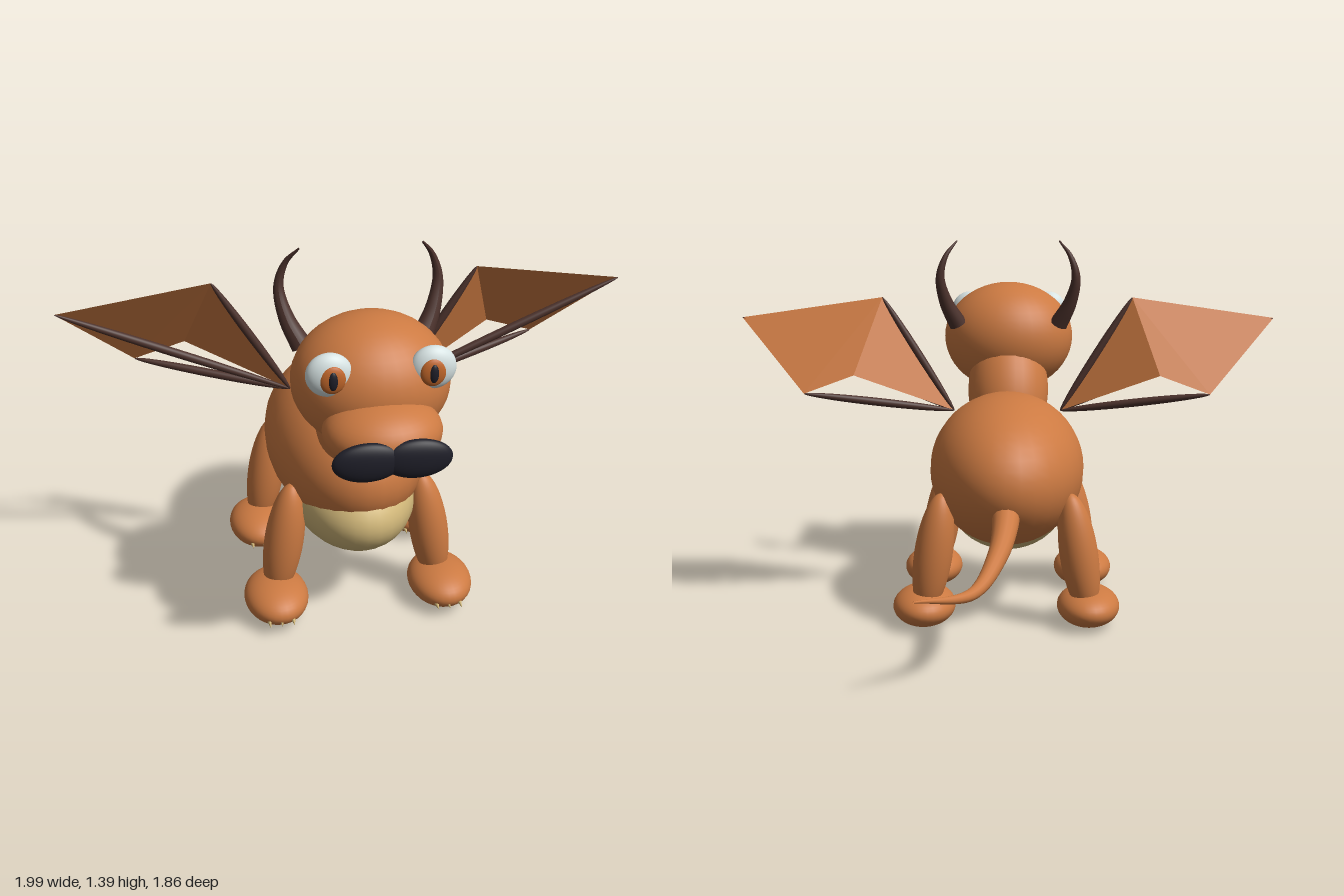
import * as THREE from 'three';

const mat = (name, color, side = THREE.FrontSide) => {
  const m = new THREE.MeshStandardMaterial({ color, side });
  m.name = name;
  return m;
};

export function createModel() {
  const root = new THREE.Group();
  root.name = 'dragon';
  const skin = mat('orange skin', 0xcc7a42, THREE.DoubleSide);
  const cream = mat('cream belly', 0xd2b87a);
  const brown = mat('dark brown horn', 0x4c322c);
  const black = mat('black', 0x1e1e28);
  const white = mat('eye white', 0xd6e2e2);
  const amber = mat('amber iris', 0xc0662a);

  const V = (x, y, z) => new THREE.Vector3(x, y, z);
  const add = (name, geo, material, parent = root) => {
    const m = new THREE.Mesh(geo, material);
    m.name = name;
    parent.add(m);
    return m;
  };
  const ball = new THREE.SphereGeometry(1, 32, 24);
  const ellipsoid = (name, material, pos, size, parent) => {
    const m = add(name, ball, material, parent);
    m.position.set(...pos);
    m.scale.set(...size);
    return m;
  };
  // Spindle stretched between two points
  const spindle = (name, material, a, b, r, parent) => {
    const d = b.clone().sub(a);
    const m = add(name, ball, material, parent);
    m.position.copy(a).add(b).multiplyScalar(0.5);
    m.scale.set(r, d.length() / 2, r);
    m.quaternion.setFromUnitVectors(V(0, 1, 0), d.normalize());
    return m;
  };
  // Tube along a curve whose radius runs from r0 to r1
  const taper = (points, r0, r1) => {
    const curve = new THREE.CatmullRomCurve3(points);
    const rows = 28, sides = 14;
    const geo = new THREE.TubeGeometry(curve, rows, 1, sides);
    const p = geo.attributes.position, v = V(0, 0, 0);
    for (let i = 0; i <= rows; i++) {
      const c = curve.getPointAt(i / rows);
      const r = r0 + (r1 - r0) * i / rows;
      for (let j = 0; j <= sides; j++) {
        const k = i * (sides + 1) + j;
        v.fromBufferAttribute(p, k).sub(c).multiplyScalar(r).add(c);
        p.setXYZ(k, v.x, v.y, v.z);
      }
    }
    geo.computeVertexNormals();
    return geo;
  };

  // Trunk, neck and head
  ellipsoid('body', skin, [0, 0.55, 0.09], [0.29, 0.28, 0.46]);
  ellipsoid('belly', cream, [0, 0.41, 0.2], [0.23, 0.19, 0.365]);
  ellipsoid('neck', skin, [0, 0.8, 0.425], [0.16, 0.26, 0.16]).rotation.x = 0.44;
  ellipsoid('head', skin, [0, 0.997, 0.555], [0.26, 0.22, 0.235]);
  ellipsoid('snout', skin, [0, 0.905, 0.745], [0.19, 0.11, 0.165]);

  // Tail
  add('tail', taper([V(0, 0.5, -0.24), V(0, 0.435, -0.37), V(0.025, 0.37, -0.52),
    V(0.1, 0.305, -0.72), V(0.27, 0.345, -0.93)], 0.055, 0.003), skin);

  for (const s of [1, -1]) {
    const side = s > 0 ? 'left' : 'right';

    // Face
    ellipsoid(side + 'NosePad', black, [0.077 * s, 0.88, 0.898], [0.11, 0.065, 0.03]);
    ellipsoid(side + 'Eye', white, [0.163 * s, 1.095, 0.717], [0.074, 0.072, 0.04]);
    ellipsoid(side + 'Iris', amber, [0.157 * s, 1.09, 0.747], [0.041, 0.046, 0.016]);
    ellipsoid(side + 'Pupil', black, [0.157 * s, 1.09, 0.758], [0.015, 0.031, 0.01]);
    add(side + 'Horn', taper([V(0.2 * s, 1.06, 0.415), V(0.245 * s, 1.15, 0.38),
      V(0.265 * s, 1.25, 0.352), V(0.243 * s, 1.33, 0.355), V(0.2 * s, 1.388, 0.385)], 0.036, 0.003), brown);

    // Legs, feet and claws
    for (const [end, z] of [['Front', 0.345], ['Back', -0.165]]) {
      const leg = new THREE.Group();
      leg.name = side + end + 'Leg';
      root.add(leg);
      spindle('shank', skin, V(0.23 * s, 0.505, z), V(0.3 * s, 0.05, z), 0.07, leg);
      ellipsoid('foot', skin, [0.302 * s, 0.075, z + 0.04], [0.115, 0.072, 0.155], leg);
      for (const dx of [-0.042, 0, 0.042]) {
        const claw = add('claw', new THREE.ConeGeometry(0.012, 0.06, 10), cream, leg);
        claw.position.set(0.302 * s + dx, 0.058, z + 0.183);
        claw.rotation.x = Math.PI / 2;
      }
    }

    // Wing: three finger bones and a membrane
    const wing = new THREE.Group();
    wing.name = side + 'Wing';
    root.add(wing);
    const shoulder = V(0.2 * s, 0.762, 0.112), elbow = V(0.467 * s, 1.188, 0.125);
    const tip = V(0.995 * s, 1.112, 0.128), lower = V(0.74 * s, 0.85, -0.055);
    const notch = V(0.56 * s, 0.914, -0.03);
    for (const end of [elbow, tip, lower]) spindle('wingBone', brown, shoulder, end, 0.015, wing);
    const geo = new THREE.BufferGeometry().setFromPoints(
      [elbow, tip, lower, elbow, lower, notch, elbow, notch, shoulder]);
    if (s < 0) geo.setIndex([0, 2, 1, 3, 5, 4, 6, 8, 7]);
    geo.computeVertexNormals();
    add('membrane', geo, skin, wing);
  }
  return root;
}
